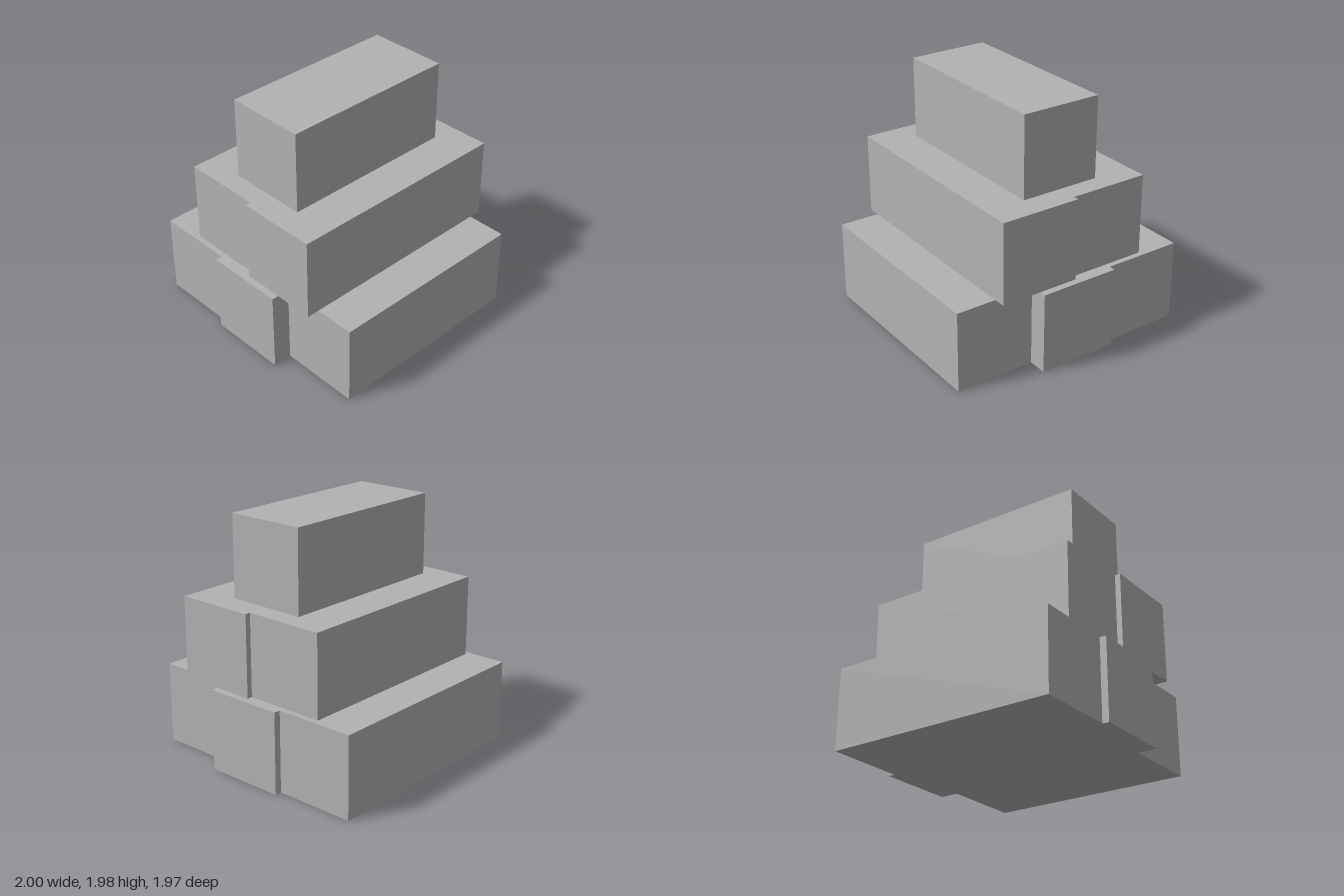
import * as THREE from 'three';

const TIER = 0.66; // height of every tier

// Each tier is a symmetric stepped plan: rows of [half width, z back, z front], back to front
const tiers = {
  bottomTier: [[0.945, -0.987, -0.329], [1.0, -0.329, 0.329], [0.845, 0.329, 0.987]],
  middleTier: [[0.9, -0.658, 0], [0.945, 0, 0.658]],
  topTier: [[0.735, -0.329, 0.329]],
};

// Extrude the outline of the joined rows upwards
function tierGeometry(rows) {
  const right = rows.flatMap(([w, back, front]) => [[w, back], [w, front]]);
  const left = right.map(([x, z]) => [-x, z]).reverse();
  const outline = [...right, ...left].map(([x, z]) => new THREE.Vector2(x, -z));
  const geometry = new THREE.ExtrudeGeometry(new THREE.Shape(outline), { depth: TIER, bevelEnabled: false });
  return geometry.rotateX(-Math.PI / 2);
}

export function createModel() {
  const model = new THREE.Group();
  model.name = 'steppedBlocks';
  const grey = new THREE.MeshStandardMaterial({ color: 0xb2b2b2 });
  grey.name = 'grey';

  Object.entries(tiers).forEach(([name, rows], level) => {
    const mesh = new THREE.Mesh(tierGeometry(rows), grey);
    mesh.name = name;
    mesh.position.y = level * TIER;
    model.add(mesh);
  });
  return model;
}
